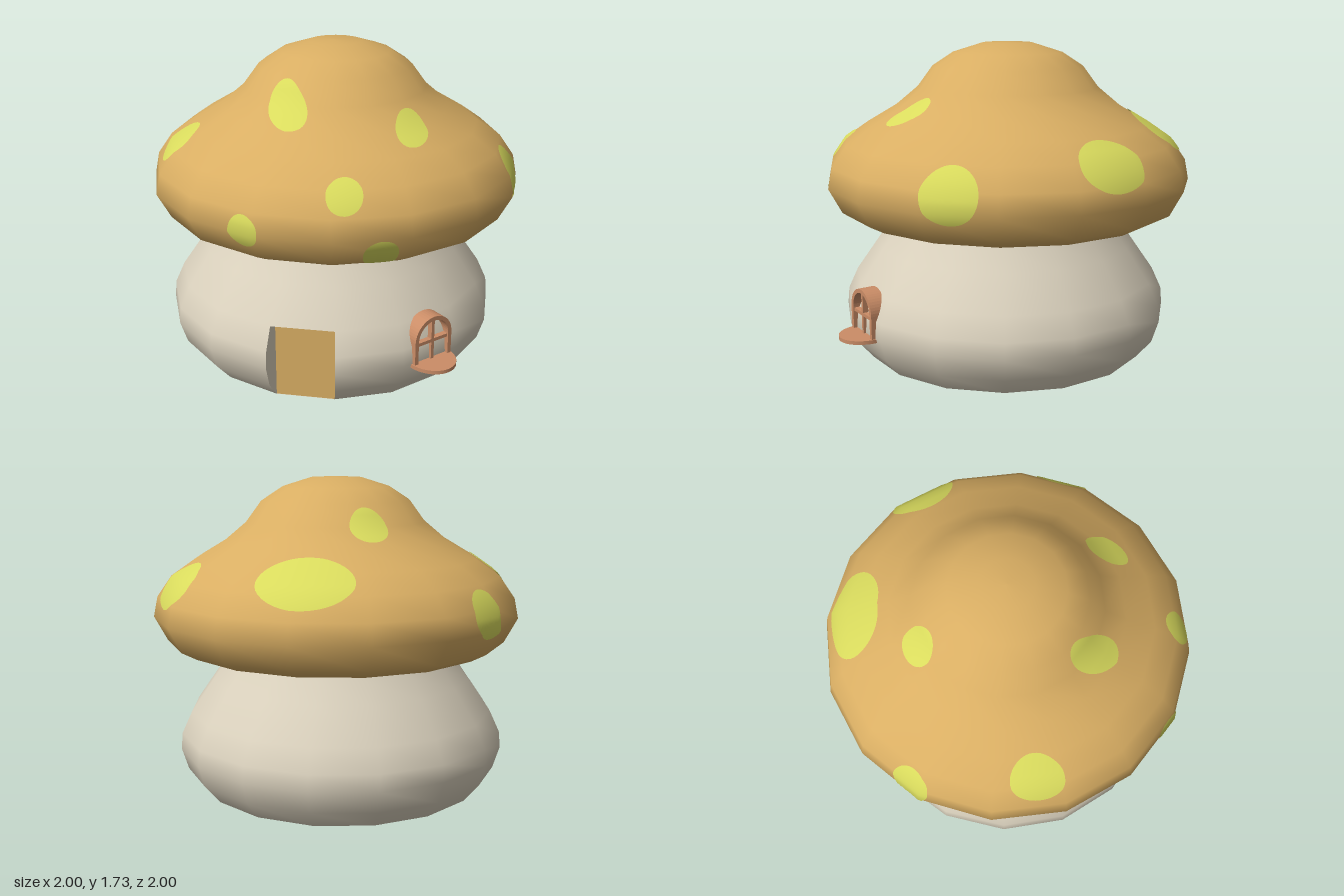
import * as THREE from 'three';

const SIDES = 16, STEP = Math.PI * 2 / SIDES;
const rad = THREE.MathUtils.degToRad;
const paint = (name, color, side = THREE.FrontSide) => {
  const m = new THREE.MeshStandardMaterial({ color, side });
  m.name = name;
  return m;
};
const vec2 = ([x, y]) => new THREE.Vector2(x, y);

// Cap profile from the underside, round the rim, up to the crown
const capProfile = [[0.45, 0.83], [0.855, 0.79], [0.94, 0.835], [1.012, 0.97], [0.99, 1.08], [0.91, 1.195],
  [0.78, 1.285], [0.62, 1.38], [0.5, 1.48], [0.415, 1.595], [0.3, 1.67], [0.14, 1.72], [0, 1.725]].map(vec2);
const CAP_START = rad(8.7);

// Stem profile from the ground up
const stemProfile = [[0.79, 0], [0.875, 0.1], [0.913, 0.22], [0.905, 0.31], [0.85, 0.43],
  [0.725, 0.61], [0.655, 0.71], [0.61, 0.79], [0.57, 0.87]].map(vec2);
const STEM_START = STEP / 2;
const DOOR_ROWS = 4, DOOR_HALF = 0.155, DOOR_TOP = 0.41, DOOR_Z = 0.772;

// Point on the cap profile at arc length s above the rim's lower edge
function profileAt(s) {
  s = Math.max(s, 0);
  for (let i = 1; i < capProfile.length - 1; i++) {
    const a = capProfile[i], b = capProfile[i + 1], d = a.distanceTo(b);
    if (s <= d) return a.clone().lerp(b, s / d);
    s -= d;
  }
  return capProfile.at(-1).clone();
}
function arcAtHeight(y) {
  let s = 0;
  while (profileAt(s).y < y) s += 0.005;
  return s;
}

// Elliptical patch that hugs the faceted cap
function spotGeometry(deg, y, a, b, tilt) {
  const phi0 = rad(deg), s0 = arcAtHeight(y), r0 = profileAt(s0).x;
  const rings = 8, seg = 40, pos = [], nor = [], idx = [];
  for (let i = 0; i <= rings; i++) for (let k = 0; k <= seg; k++) {
    const t = k / seg * Math.PI * 2, p = a * Math.cos(t) * i / rings, q = b * Math.sin(t) * i / rings;
    const phi = phi0 + (p * Math.cos(tilt) - q * Math.sin(tilt)) / r0;
    const s = s0 + p * Math.sin(tilt) + q * Math.cos(tilt);
    const pt = profileAt(s), slope = profileAt(s + 0.07).sub(profileAt(s - 0.07)).normalize();
    const local = THREE.MathUtils.euclideanModulo(phi - CAP_START, STEP) - STEP / 2;
    const r = pt.x * Math.cos(STEP / 2) / Math.cos(local);
    const n = [slope.y * Math.sin(phi), -slope.x, slope.y * Math.cos(phi)];
    const base = [r * Math.sin(phi), pt.y, r * Math.cos(phi)];
    pos.push(...base.map((v, j) => v + n[j] * 0.006));
    nor.push(...n);
    if (i < rings && k < seg) {
      const c = i * (seg + 1) + k, d = c + seg + 1;
      idx.push(c, d, d + 1, c, d + 1, c + 1);
    }
  }
  const g = new THREE.BufferGeometry();
  g.setAttribute('position', new THREE.Float32BufferAttribute(pos, 3));
  g.setAttribute('normal', new THREE.Float32BufferAttribute(nor, 3));
  g.setIndex(idx);
  return g;
}

// Stem wall with the front facet left open for the doorway
function stemGeometry() {
  const g = new THREE.LatheGeometry(stemProfile, SIDES, STEM_START);
  const rows = stemProfile.length - 1, src = [...g.index.array];
  g.setIndex(src.filter((_, i) => {
    const quad = Math.floor(i / 6);
    return !(Math.floor(quad / rows) === SIDES - 1 && quad % rows < DOOR_ROWS);
  }));
  return g;
}

// Jambs and lintel: a strip from the wall's opening back to the door's edge
function doorwayGeometry() {
  const side = sx => stemProfile.slice(0, DOOR_ROWS + 1).map(p => [
    new THREE.Vector3(sx * p.x * Math.sin(STEP / 2), p.y, p.x * Math.cos(STEP / 2)),
    new THREE.Vector3(sx * DOOR_HALF, p.y * DOOR_TOP / stemProfile[DOOR_ROWS].y, DOOR_Z)]);
  const path = [...side(-1), ...side(1).reverse()], pts = [];
  for (let i = 0; i < path.length - 1; i++) {
    const [a, b] = path[i], [c, d] = path[i + 1];
    pts.push(a, b, d, a, d, c);
  }
  const g = new THREE.BufferGeometry().setFromPoints(pts);
  g.computeVertexNormals();
  return g;
}

// Outline of an arched opening
function arch(path, half, bottom, spring) {
  path.moveTo(-half, bottom);
  path.lineTo(half, bottom);
  path.lineTo(half, spring);
  path.absarc(0, spring, half, 0, Math.PI, false);
  path.lineTo(-half, bottom);
  return path;
}

export function createModel() {
  const ochre = paint('ochre', 0xd9ae63);
  const lime = paint('lime', 0xd9db5d, THREE.DoubleSide);
  const plaster = paint('plaster', 0xdad1bd, THREE.DoubleSide);
  const wood = paint('terracotta wood', 0xcb8d67);

  const model = new THREE.Group();
  model.name = 'mushroomHouse';
  const add = (parent, name, geometry, material, x = 0, y = 0, z = 0) => {
    const m = new THREE.Mesh(geometry, material);
    m.name = name;
    m.position.set(x, y, z);
    parent.add(m);
    return m;
  };

  // Cap and its spots
  add(model, 'cap', new THREE.LatheGeometry(capProfile, SIDES, CAP_START), ochre);
  const spots = new THREE.Group();
  spots.name = 'capSpots';
  model.add(spots);
  // angle from the front, height, half width, half height, tilt
  [[-19, 1.47, 0.1, 0.165, 0.6], [47, 1.37, 0.085, 0.14, -0.6], [12.5, 1.17, 0.09, 0.1, 0],
    [-16.7, 0.98, 0.085, 0.088, 0], [23, 0.875, 0.088, 0.1, 0], [-66.5, 1.22, 0.14, 0.14, 0],
    [84.7, 1.06, 0.148, 0.155, 0], [135, 1.18, 0.19, 0.16, 0], [191, 1.25, 0.25, 0.18, 0],
    [221, 1.48, 0.1, 0.115, 0], [252.5, 1.06, 0.11, 0.135, 0],
  ].forEach((s, i) => add(spots, `spot${i + 1}`, spotGeometry(...s), lime));

  // Stem, floor and doorway
  const house = new THREE.Group();
  house.name = 'stemHouse';
  house.position.set(-0.02, 0, 0.02);
  model.add(house);
  add(house, 'stem', stemGeometry(), plaster);
  add(house, 'floor', new THREE.CircleGeometry(stemProfile[0].x, SIDES, STEP / 2).rotateX(Math.PI / 2), plaster);
  add(house, 'doorway', doorwayGeometry(), plaster);
  add(house, 'door', new THREE.BoxGeometry(DOOR_HALF * 2, DOOR_TOP, 0.04), ochre, 0, DOOR_TOP / 2, DOOR_Z - 0.02);

  // Arched window with bars and a rounded sill
  const windowGroup = new THREE.Group();
  windowGroup.name = 'window';
  windowGroup.rotation.y = Math.PI / 4;
  windowGroup.position.set(-0.02, 0, 0.02);
  model.add(windowGroup);
  const frame = arch(new THREE.Shape(), 0.12, 0.2, 0.34);
  frame.holes.push(arch(new THREE.Path(), 0.098, 0.215, 0.34));
  add(windowGroup, 'windowFrame',
    new THREE.ExtrudeGeometry(frame, { depth: 0.09, bevelEnabled: false, curveSegments: 12 }), wood, 0, 0, 0.825);
  add(windowGroup, 'verticalBar', new THREE.BoxGeometry(0.018, 0.24, 0.03), wood, 0, 0.328, 0.893);
  add(windowGroup, 'crossBar', new THREE.BoxGeometry(0.2, 0.018, 0.03), wood, 0, 0.322, 0.893);
  const sill = add(windowGroup, 'windowSill',
    new THREE.CylinderGeometry(0.128, 0.128, 0.02, 24, 1, false, -Math.PI / 2, Math.PI), wood, 0, 0.207, 0.89);
  sill.scale.z = 1.15;

  return model;
}
